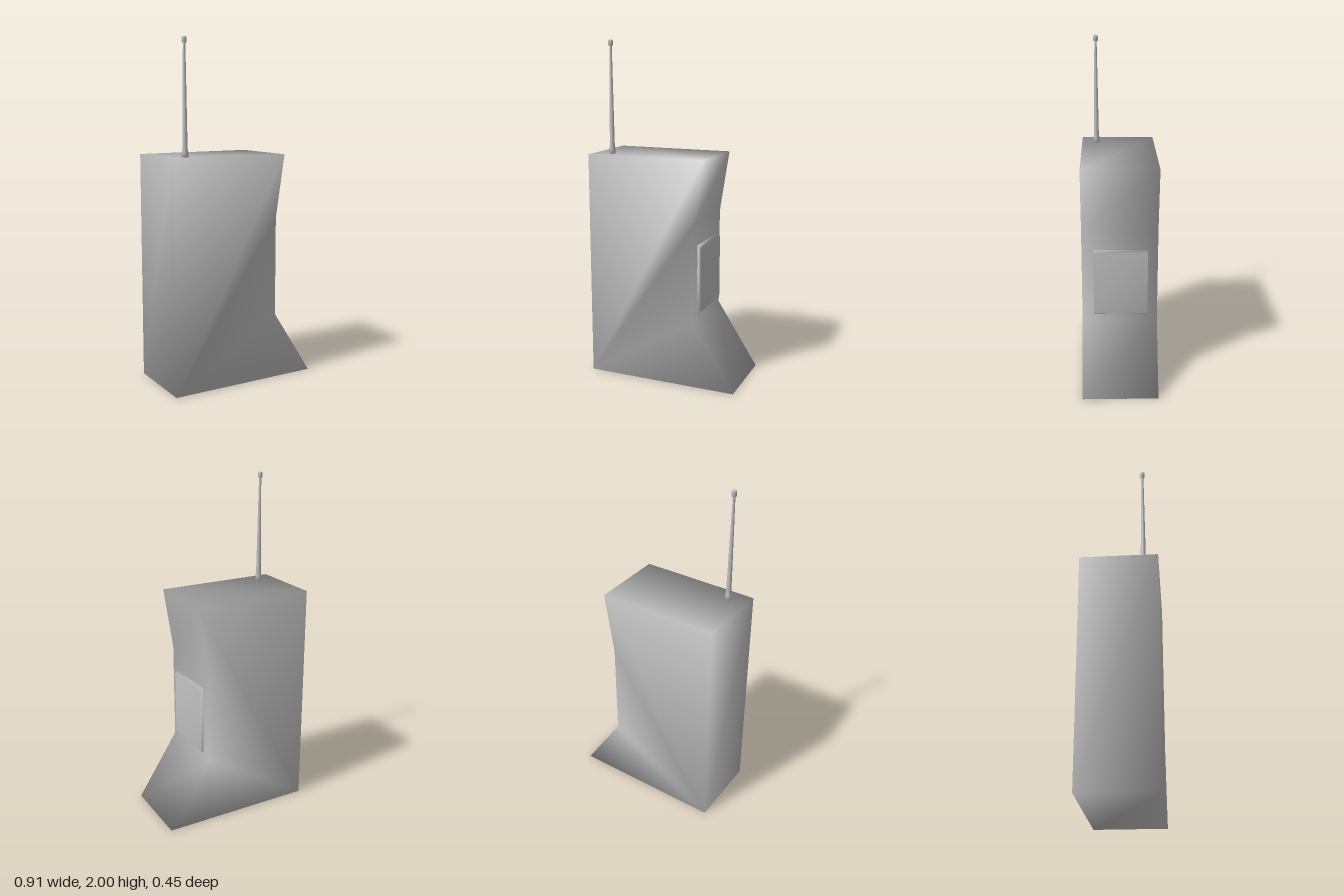
import * as THREE from 'three';
import { mergeVertices } from 'three/addons/utils/BufferGeometryUtils.js';

// Extrudes an x/y outline from z0 to z1, with normals shared across all edges
function softPrism(points, z0, z1) {
  const shape = new THREE.Shape(points.map(([x, y]) => new THREE.Vector2(x, y)));
  let geo = new THREE.ExtrudeGeometry(shape, { depth: z1 - z0, bevelEnabled: false });
  geo.deleteAttribute('uv');
  geo.deleteAttribute('normal');
  geo = mergeVertices(geo, 1e-4);
  geo.computeVertexNormals();
  return geo.translate(0, 0, z0);
}

export function createModel() {
  const model = new THREE.Group();
  const grey = new THREE.MeshStandardMaterial({ color: 0xc0c0c0 });
  grey.name = 'grey plastic';

  const add = (name, geometry) => {
    const mesh = new THREE.Mesh(geometry, grey);
    mesh.name = name;
    model.add(mesh);
    return mesh;
  };

  // Handset case: straight back, pinched grip and flared foot
  add('case', softPrism([
    [-0.457, 0], [0.457, 0], [0.205, 0.39],
    [0.205, 0.975], [0.262, 1.345], [-0.457, 1.345],
  ], -0.223, 0.223));

  // Push-to-talk plate on the grip, chamfered at top and bottom
  add('talkButton', softPrism([
    [0.2, 0.43], [0.208, 0.43], [0.229, 0.444],
    [0.229, 0.829], [0.208, 0.843], [0.2, 0.843],
  ], -0.164, 0.154));

  // Telescopic aerial: collar, tapering rod and capped tip
  const aerial = [
    [0, 1.34], [0.019, 1.34], [0.019, 1.375], [0.015, 1.39],
    [0.007, 1.965], [0.014, 1.967], [0.014, 1.995], [0.01, 2], [0, 2],
  ].map(([r, y]) => new THREE.Vector2(r, y));
  add('aerial', new THREE.LatheGeometry(aerial, 10)).position.set(-0.345, 0, 0.134);

  return model;
}
